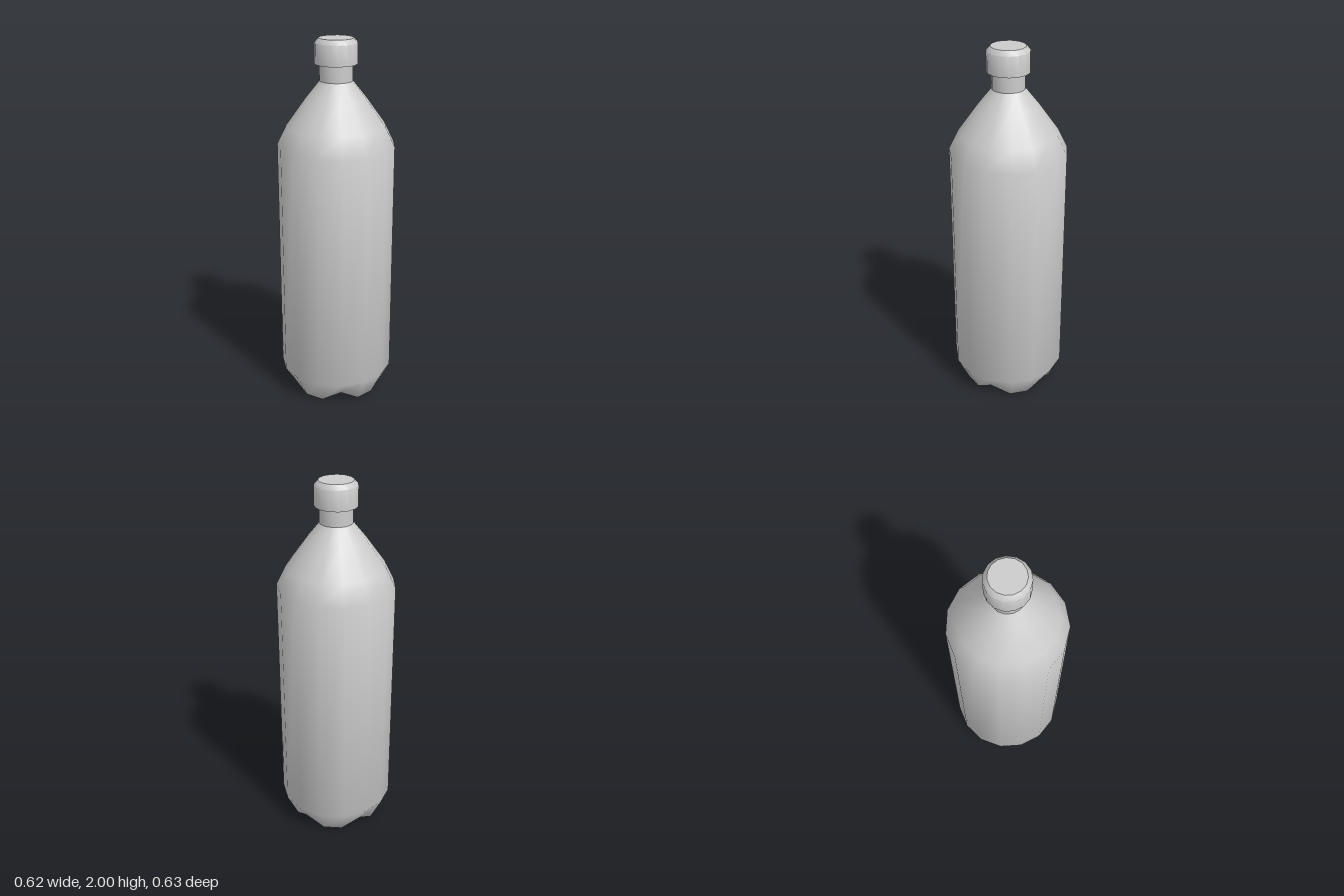
import * as THREE from 'three';
import { toCreasedNormals } from 'three/addons/utils/BufferGeometryUtils.js';

const SIDES = 15;
const material = new THREE.MeshStandardMaterial({ color: 0xcccccc });

// Turned part with a corner of the polygon on +x
function turned(name, profile, crease) {
  const points = profile.map(([r, y]) => new THREE.Vector2(r, y));
  const geometry = new THREE.LatheGeometry(points, SIDES, Math.PI / 2);
  const mesh = new THREE.Mesh(toCreasedNormals(geometry, crease), material);
  mesh.name = name;
  return mesh;
}

// Body skinned over rings; every third corner of the base is a groove between two feet.
// Each ring: [foot radius, foot y, groove radius, groove y]
function bottleBody() {
  const rings = [
    [0, 0.06, 0, 0.06],
    [0.155, 0, 0.15, 0.045],
    [0.25, 0, 0.27, 0.065],
    [0.3155, 0.135, 0.3155, 0.135],
    [0.3155, 1.44, 0.3155, 1.44],
    [0.264, 1.545, 0.264, 1.545],
    [0.16, 1.69, 0.16, 1.69],
    [0.088, 1.78, 0.088, 1.78],
  ];
  const positions = [];
  const index = [];
  rings.forEach(([footR, footY, grooveR, grooveY], row) => {
    for (let i = 0; i < SIDES; i++) {
      const angle = (i / SIDES) * Math.PI * 2;
      const groove = i % 3 === 0;
      const r = groove ? grooveR : footR;
      positions.push(r * Math.cos(angle), groove ? grooveY : footY, r * Math.sin(angle));
      if (row === 0) continue;
      const next = (i + 1) % SIDES;
      const a = (row - 1) * SIDES + i, b = (row - 1) * SIDES + next;
      const c = row * SIDES + i, d = row * SIDES + next;
      if (row > 1) index.push(a, c, b);
      // Split each quad, with a single triangle fan at the centre of the base
      index.push(b, c, d);
    }
  });
  const geometry = new THREE.BufferGeometry();
  geometry.setAttribute('position', new THREE.Float32BufferAttribute(positions, 3));
  geometry.setIndex(index);
  const mesh = new THREE.Mesh(toCreasedNormals(geometry, 1.2), material);
  mesh.name = 'bottleBody';
  return mesh;
}

export function createModel() {
  const group = new THREE.Group();
  group.name = 'bottle';

  const body = bottleBody();
  const neck = turned('neck', [[0.088, 1.78], [0.088, 1.87]], 0.7);
  // Cap with a flat underside and a bevelled top edge
  const cap = turned('cap', [
    [0.086, 1.868], [0.1135, 1.868], [0.1135, 1.976], [0.092, 2], [0, 2],
  ], 0.75);

  // A 15-sided outline reaches further on +x, so shift it to centre its bounds
  for (const part of [body, neck, cap]) {
    part.position.x = -0.0035;
    group.add(part);
  }
  return group;
}
